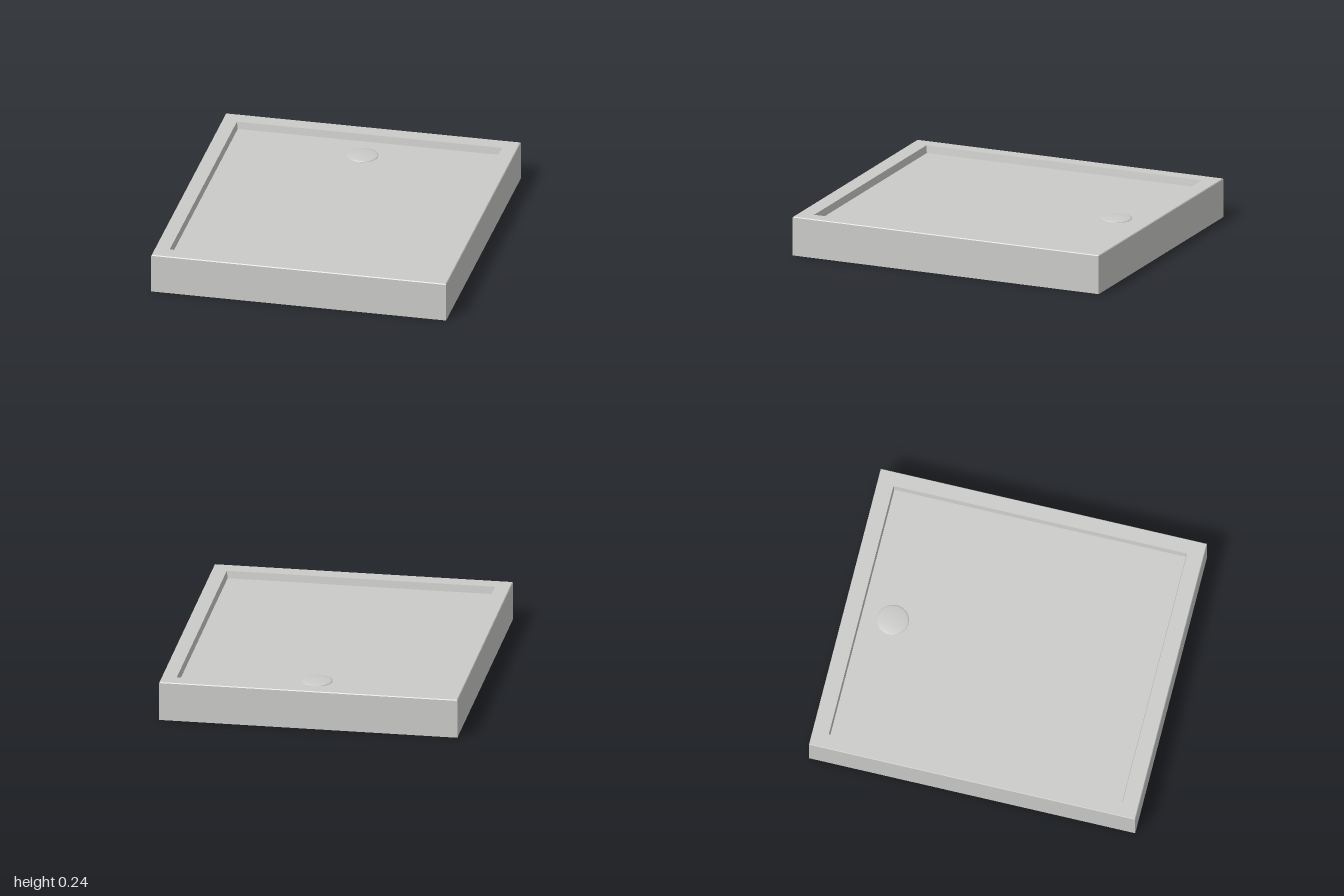
import * as THREE from 'three';

const material = (name, color) => {
  const m = new THREE.MeshStandardMaterial({ color });
  m.name = name;
  return m;
};

// Flat-faced skin through successive rectangles [halfX, halfZ, y]
function rectangleSkin(rects) {
  const corners = rects.map(([x, z, y]) =>
    [[x, y, z], [x, y, -z], [-x, y, -z], [-x, y, z]]);
  const positions = [];
  for (let i = 0; i < corners.length - 1; i++) {
    const a = corners[i], b = corners[i + 1];
    for (let k = 0; k < 4; k++) {
      const n = (k + 1) % 4;
      positions.push(...a[k], ...a[n], ...b[n], ...a[k], ...b[n], ...b[k]);
    }
  }
  const geometry = new THREE.BufferGeometry();
  geometry.setAttribute('position', new THREE.Float32BufferAttribute(positions, 3));
  geometry.computeVertexNormals();
  return geometry;
}

export function createModel() {
  const grey = material('tray grey', 0xcbcbc9);
  const tan = material('underside tan', 0xcac2a8);
  const white = material('core white', 0xf0f0f0);
  const group = new THREE.Group();
  group.name = 'showerTray';
  const add = (name, geometry, mat) => {
    const mesh = new THREE.Mesh(geometry, mat);
    mesh.name = name;
    group.add(mesh);
    return mesh;
  };

  const floorY = 0.195, ceilingY = 0.13, drainZ = -0.705;

  // Outer skirt, flat rim and shallow recessed floor
  add('trayShell', rectangleSkin([
    [0.875, 0.975, 0], [0.9, 1, 0],
    [0.9, 1, 0.235], [0.896, 0.996, 0.24],
    [0.81, 0.9, 0.24], [0.804, 0.894, floorY], [0, 0, floorY],
  ]), grey);

  // Inside of the skirt and underside of the floor
  add('trayUnderside', rectangleSkin([
    [0, 0, ceilingY], [0.875, 0.975, ceilingY], [0.875, 0.975, 0],
  ]), tan);

  // Supporting core with a round drain pocket open to the back
  const r = 0.3, backY = 0.88, open = Math.asin((backY + drainZ) / r);
  const core = new THREE.Shape();
  core.moveTo(-0.78, -backY);
  core.lineTo(0.78, -backY);
  core.lineTo(0.78, backY);
  core.lineTo(r * Math.cos(open), backY);
  core.absarc(0, -drainZ, r, open, Math.PI - open, true);
  core.lineTo(-0.78, backY);
  core.closePath();
  const coreGeometry = new THREE.ExtrudeGeometry(core, {
    depth: ceilingY, bevelEnabled: false, curveSegments: 64,
  });
  coreGeometry.rotateX(-Math.PI / 2);
  add('supportCore', coreGeometry, white);

  // Slightly domed drain cover
  const dome = [[0.095, 0], [0.095, 0.004], [0.088, 0.007], [0.06, 0.01], [0.03, 0.012], [0, 0.0125]];
  add('drainCover', new THREE.LatheGeometry(dome.map(p => new THREE.Vector2(...p)), 48), grey)
    .position.set(0, floorY, drainZ);

  // Drain outlet plate under the floor
  add('drainOutlet', new THREE.CylinderGeometry(0.09, 0.09, 0.006, 48), tan)
    .position.set(0, ceilingY - 0.001, drainZ);

  return group;
}
